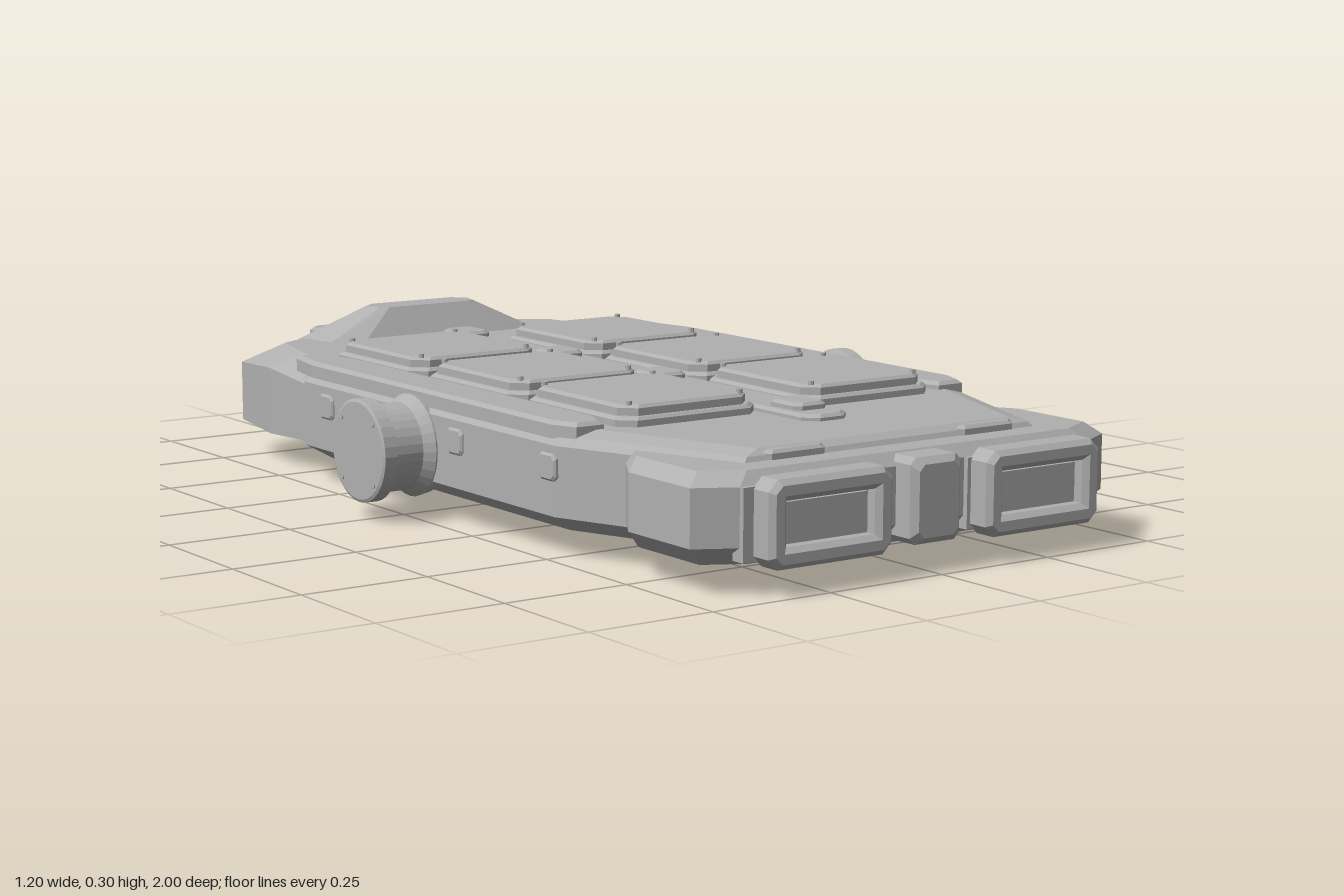
import * as THREE from 'three';

const grey = new THREE.MeshStandardMaterial({ color: 0xb0b0b0, flatShading: true });
grey.name = 'hull grey';

// Mirror a right-hand half outline (front to rear) into a full loop
const mirror = (half) => [...half, ...half.slice().reverse().map(([x, y, z]) => [-x, y, z])];

// Half outline [x, z] at height y, pulled in by sx and sz
const level = (half, y, sx = 0, sz = 0) =>
  mirror(half.map(([x, z]) => [x - sx, y, z - Math.sign(z) * sz]));

// Skin stacked loops (bottom to top) and cap both ends
function loft(rings) {
  const out = [];
  const tri = (a, b, c) => out.push(...a, ...b, ...c);
  const n = rings[0].length;
  for (let r = 0; r < rings.length - 1; r++) {
    const lo = rings[r], hi = rings[r + 1];
    for (let i = 0; i < n; i++) {
      const j = (i + 1) % n;
      tri(lo[i], lo[j], hi[j]);
      tri(lo[i], hi[j], hi[i]);
    }
  }
  const bottom = rings[0], top = rings[rings.length - 1];
  for (let i = 1; i < n - 1; i++) {
    tri(bottom[0], bottom[i + 1], bottom[i]);
    tri(top[0], top[i], top[i + 1]);
  }
  const g = new THREE.BufferGeometry();
  g.setAttribute('position', new THREE.Float32BufferAttribute(out, 3));
  g.computeVertexNormals();
  return g;
}

// Flat plate with cut corners and a bevelled top edge, standing on y = 0
function plate(w, h, d, cut = 0.02, bevel = 0.006) {
  const ring = (y, s) => {
    const x = w / 2 - s, z = d / 2 - s;
    return mirror([[x - cut, y, z], [x, y, z - cut], [x, y, -z + cut], [x - cut, y, -z]]);
  };
  return loft([ring(0, 0), ring(h - bevel, 0), ring(h, bevel)]);
}

export function createModel() {
  const model = new THREE.Group();
  model.name = 'spacecraft';
  const add = (name, geometry, x = 0, y = 0, z = 0, parent = model) => {
    const m = new THREE.Mesh(geometry, grey);
    m.name = name;
    m.position.set(x, y, z);
    parent.add(m);
    return m;
  };

  // Main hull with bevelled belly and deck
  const hull = [[0.34, 0.87], [0.482, 0.5], [0.482, -0.42], [0.38, -0.6]];
  add('hull', loft([
    level(hull, 0.038, 0.06, 0.04), level(hull, 0.075), level(hull, 0.205),
    level(hull, 0.222, 0.015, 0.01), level(hull, 0.232, 0.05, 0.025),
  ]));

  // Front shoulder block
  const shoulder = [[0.40, 0.94], [0.475, 0.9], [0.475, 0.72], [0.40, 0.6]];
  add('shoulders', loft([
    level(shoulder, 0.045, 0.05, 0.04), level(shoulder, 0.085),
    level(shoulder, 0.19), level(shoulder, 0.213, 0.03, 0.02),
  ]));

  // Faceted rear nose
  add('nose', loft([
    mirror([[0.36, 0.045, -0.5], [0.36, 0.047, -0.62], [0.32, 0.055, -0.78], [0.09, 0.075, -0.9]]),
    mirror([[0.43, 0.065, -0.48], [0.45, 0.065, -0.63], [0.425, 0.07, -0.8], [0.095, 0.115, -1]]),
    mirror([[0.43, 0.18, -0.48], [0.45, 0.205, -0.63], [0.425, 0.195, -0.8], [0.095, 0.17, -1]]),
    mirror([[0.38, 0.228, -0.5], [0.38, 0.234, -0.61], [0.34, 0.234, -0.76], [0.09, 0.234, -0.91]]),
  ]));

  // Raised canopy and slot bar on the nose
  add('canopy', loft([
    mirror([[0.19, 0.23, -0.68], [0.26, 0.23, -0.71], [0.285, 0.23, -0.81], [0.2, 0.23, -0.87]]),
    mirror([[0.1, 0.297, -0.725], [0.12, 0.297, -0.735], [0.13, 0.297, -0.775], [0.1, 0.297, -0.8]]),
  ]));
  add('noseBar', plate(0.42, 0.014, 0.06, 0.02), 0, 0.23, -0.875);

  // Deck rails along each side
  for (const s of [-1, 1]) {
    const rail = [[0.03, 0.53], [0.05, 0.48], [0.05, -0.4], [0.03, -0.5]];
    add(s > 0 ? 'leftRail' : 'rightRail',
      loft([level(rail, 0.215), level(rail, 0.24), level(rail, 0.247, 0.008, 0.008)]), s * 0.425);
  }

  // Six deck hatches with corner bolts
  const bolt = new THREE.CylinderGeometry(0.006, 0.006, 0.008, 8);
  for (const z of [-0.34, 0.025, 0.383]) {
    for (const s of [-1, 1]) {
      const hatch = new THREE.Group();
      hatch.name = 'hatch';
      hatch.position.set(s * 0.21, 0.23, z);
      model.add(hatch);
      add('hatchBase', plate(0.315, 0.02, 0.34, 0.03), 0, 0, 0, hatch);
      add('hatchCover', plate(0.29, 0.022, 0.315, 0.028), 0, 0.018, 0, hatch);
      for (const bx of [-1, 1]) for (const bz of [-1, 1])
        add('hatchBolt', bolt, bx * 0.125, 0.042, bz * 0.138, hatch);
    }
  }

  // Central spine with four raised blocks
  add('spine', plate(0.105, 0.014, 1.34, 0.025), 0, 0.23, 0.02);
  for (const z of [-0.57, -0.21, 0.15, 0.59])
    add('spineBlock', plate(0.075, 0.028, 0.09, 0.012), 0, 0.23, z);

  // Clips on the front deck edge
  for (const s of [-1, 1]) add('deckClip', plate(0.13, 0.018, 0.025, 0.008), s * 0.22, 0.212, 0.857);

  // Framed boxes across the front
  const w = 0.125, h = 0.068, c = 0.014;
  const frame = new THREE.Shape([
    [-w + c, -h], [w - c, -h], [w, -h + c], [w, h - c],
    [w - c, h], [-w + c, h], [-w, h - c], [-w, -h + c],
  ].map(([x, y]) => new THREE.Vector2(x, y)));
  frame.holes.push(new THREE.Path([[-0.107, -0.05], [-0.107, 0.05], [0.107, 0.05], [0.107, -0.05]]
    .map(([x, y]) => new THREE.Vector2(x, y))));
  const frameGeo = new THREE.ExtrudeGeometry(frame, {
    depth: 0.044, bevelEnabled: true, bevelThickness: 0.01, bevelSize: 0.01, bevelSegments: 1,
  });
  for (const s of [-1, 1]) {
    add('frontFrame', frameGeo, s * 0.243, 0.128, 0.946);
    add('frontPanel', new THREE.BoxGeometry(0.22, 0.105, 0.03), s * 0.243, 0.128, 0.955);
    add('frontInset', new THREE.BoxGeometry(0.18, 0.07, 0.02), s * 0.243, 0.128, 0.968);
    add('frontMount', new THREE.BoxGeometry(0.3, 0.13, 0.03), s * 0.25, 0.125, 0.935);
  }
  add('frontCentre', plate(0.115, 0.07, 0.155, 0.012, 0.012), 0, 0.132, 0.92).rotation.x = Math.PI / 2;

  // Side drums with flanges and rim bolts
  const drumProfile = [[0, 0.46], [0.095, 0.46], [0.1, 0.485], [0.085, 0.505], [0.085, 0.562],
    [0.1, 0.57], [0.1, 0.597], [0.094, 0.6], [0, 0.6]].map(([r, y]) => new THREE.Vector2(r, y));
  for (const s of [-1, 1]) {
    const drum = new THREE.Group();
    drum.name = s > 0 ? 'leftDrum' : 'rightDrum';
    drum.position.y = 0.135;
    drum.rotation.z = -s * Math.PI / 2;
    model.add(drum);
    add('drumBody', new THREE.LatheGeometry(drumProfile, 32), 0, 0, 0, drum);
    for (let i = 0; i < 4; i++) {
      const a = Math.PI / 4 + i * Math.PI / 2;
      add('drumBolt', bolt, Math.cos(a) * 0.083, 0.598, Math.sin(a) * 0.083, drum);
    }
  }

  // Small access covers on each flank
  for (const z of [0.48, 0.165, -0.325]) for (const s of [-1, 1]) {
    add('sideCover', plate(0.05, 0.02, 0.055, 0.008, 0.004), s * 0.468, 0.165, z).rotation.z = -s * Math.PI / 2;
  }

  // Belly plate with corner feet
  add('bellyPlate', plate(0.58, 0.03, 0.97, 0.04, 0.008), 0, 0.04, 0.065).rotation.x = Math.PI;
  for (const x of [-0.265, 0.265]) for (const z of [-0.38, 0.51])
    add('foot', new THREE.CylinderGeometry(0.016, 0.016, 0.02, 8), x, 0.01, z);

  return model;
}
